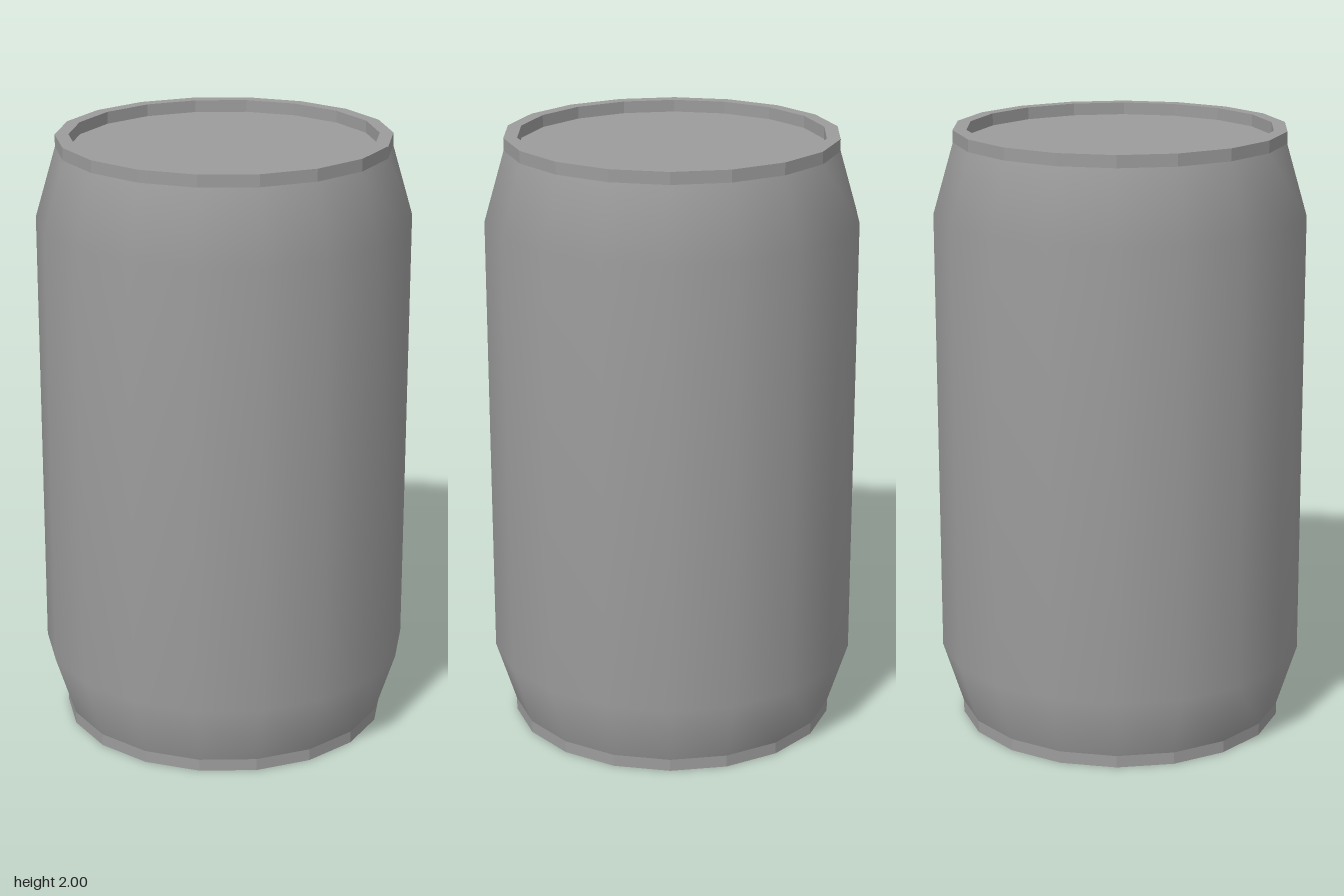
import * as THREE from 'three';

const SIDES = 18;
const BODY_R = 0.608, RIM_R = 0.541, INNER_R = 0.497, RIM_H = 0.04;

// Revolves a [radius, y] profile, with a corner on the x axis
function lathe(name, profile, flatShading) {
  const points = profile.map(([r, y]) => new THREE.Vector2(r, y));
  const mesh = new THREE.Mesh(
    new THREE.LatheGeometry(points, SIDES, Math.PI / 2),
    new THREE.MeshStandardMaterial({ color: 0x9c9c9c, flatShading })
  );
  mesh.name = name;
  return mesh;
}

export function createModel() {
  const can = new THREE.Group();
  can.name = 'can';

  // Smooth wall with tapered shoulder and foot
  can.add(lathe('body', [
    [RIM_R, RIM_H], [BODY_R, 0.25], [BODY_R, 1.73], [RIM_R, 2 - RIM_H],
  ], false));

  // Faceted rims standing proud of the recessed end plates
  can.add(lathe('bottomRim', [
    [INNER_R, RIM_H], [INNER_R, 0], [RIM_R, 0], [RIM_R, RIM_H],
  ], true));
  can.add(lathe('topRim', [
    [RIM_R, 2 - RIM_H], [RIM_R, 2], [INNER_R, 2], [INNER_R, 2 - RIM_H],
  ], true));

  // Flat end plates
  can.add(lathe('base', [[0, RIM_H], [INNER_R, RIM_H]], true));
  can.add(lathe('lid', [[INNER_R, 2 - RIM_H], [0, 2 - RIM_H]], true));

  return can;
}
